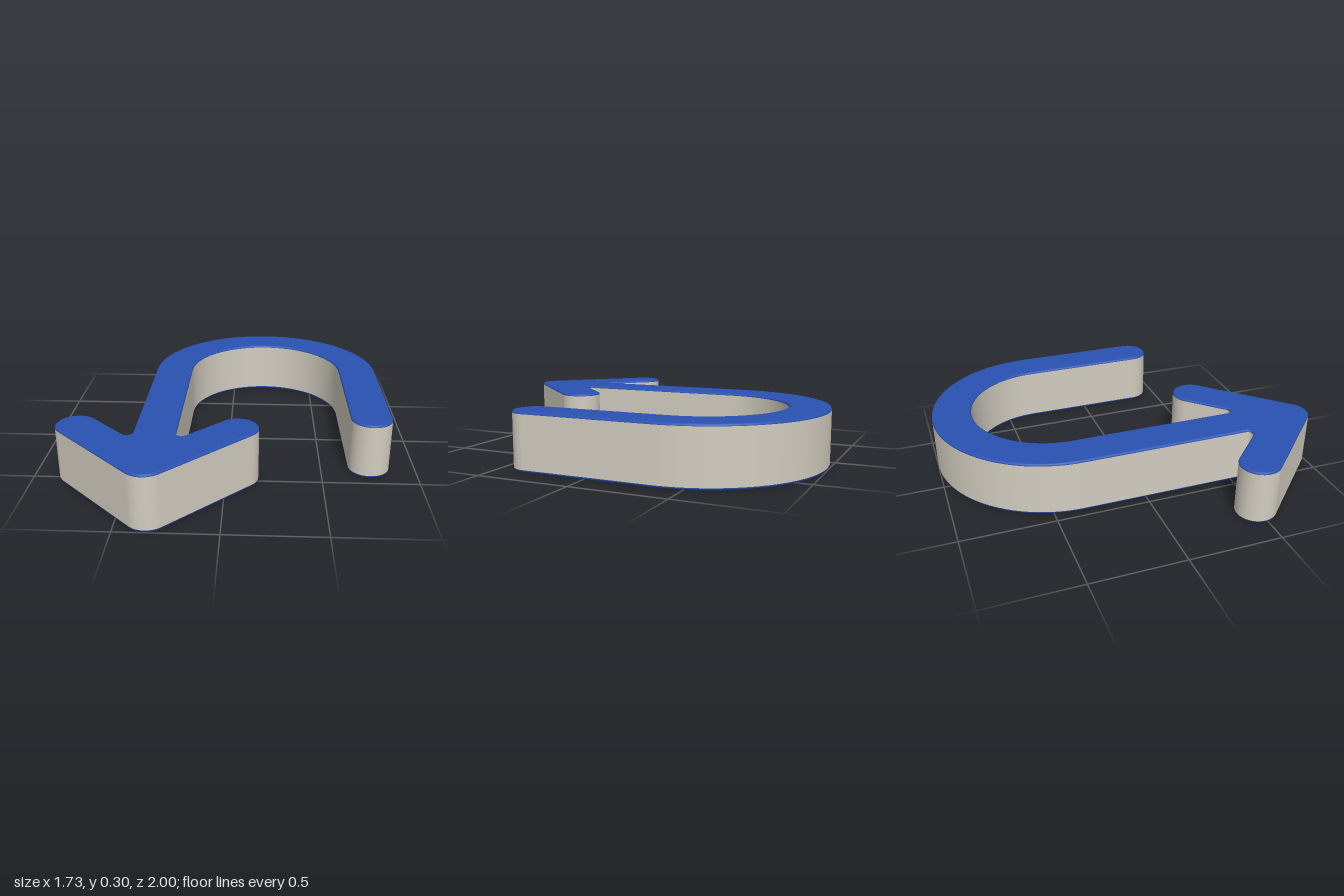
import * as THREE from 'three';

const HEIGHT = 0.3, BEVEL = 0.012;
const W = 0.1075;                    // half width of the stroke
const SHAFT_X = -0.3475, LEG_X = 0.7525;
const BEND = [0.2025, -0.3425];      // centre of the U bend (x, z)
const FILLET = 0.028;

// Outline as tangent arcs joined by straight runs, counter-clockwise from above:
// [centre x, centre z, radius, start degrees, end degrees]; clockwise arcs are concave.
const NOTCH_Z = 0.565, BARB = 0.41, BARB_Z = 0.4825, TIP_Z = 0.8925;
const ARCS = [
  [LEG_X, 0.3375, W, 180, 360],                              // end of the short leg
  [...BEND, 0.55 + W, 0, 180],                               // outer bend
  [SHAFT_X - W - FILLET, NOTCH_Z, FILLET, 0, -135],          // notch
  [SHAFT_X - BARB, BARB_Z, W, 45, 225],                      // barb end
  [SHAFT_X, TIP_Z, W, 225, 315],                             // arrow tip
  [SHAFT_X + BARB, BARB_Z, W, -45, 135],                     // barb end
  [SHAFT_X + W + FILLET, NOTCH_Z, FILLET, 315, 180],         // notch
  [...BEND, 0.55 - W, 180, 0],                               // inner bend
];

// Outline points with their outward normals
function makeOutline() {
  const points = [];
  for (const [cx, cz, r, from, to] of ARCS) {
    const steps = Math.ceil(Math.abs(to - from) / (r > 0.3 ? 3 : 9));
    const sign = to > from ? 1 : -1;
    for (let i = 0; i <= steps; i++) {
      const a = THREE.MathUtils.degToRad(from + (to - from) * i / steps);
      const c = Math.cos(a), s = -Math.sin(a);
      points.push({ x: cx + r * c, z: cz + r * s, nx: sign * c, nz: sign * s });
    }
  }
  return points;
}

// Skin through rings listed from bottom to top, with an optional flat cap ('top' or 'bottom')
function skin(outline, rings, cap) {
  const pos = [], nor = [], index = [], n = outline.length;
  const addRing = ({ inset, y, side, up }) => {
    for (const p of outline) {
      pos.push(p.x - p.nx * inset, y, p.z - p.nz * inset);
      nor.push(p.nx * side, up, p.nz * side);
    }
  };
  rings.forEach(addRing);
  for (let k = 0; k + 1 < rings.length; k++) {
    for (let i = 0; i < n; i++) {
      const j = (i + 1) % n, a = k * n + i, b = k * n + j;
      index.push(a, b, b + n, a, b + n, a + n);
    }
  }
  if (cap) {
    const top = cap === 'top';
    const edge = top ? rings[rings.length - 1] : rings[0];
    const base = rings.length * n;
    addRing({ ...edge, side: 0, up: top ? 1 : -1 });
    const flat = outline.map(p => new THREE.Vector2(p.x - p.nx * edge.inset, -(p.z - p.nz * edge.inset)));
    for (const [a, b, c] of THREE.ShapeUtils.triangulateShape(flat, [])) {
      if (top) index.push(base + a, base + b, base + c);
      else index.push(base + a, base + c, base + b);
    }
  }
  const geometry = new THREE.BufferGeometry();
  geometry.setAttribute('position', new THREE.Float32BufferAttribute(pos, 3));
  geometry.setAttribute('normal', new THREE.Float32BufferAttribute(nor, 3));
  geometry.setIndex(index);
  return geometry;
}

// Quarter-round edge rings, bottom to top
function edgeRings(top) {
  const rings = [];
  for (let i = 0; i <= 4; i++) {
    const a = (i / 4) * Math.PI / 2, c = Math.cos(a), s = Math.sin(a);
    rings.push({
      inset: BEVEL * (1 - c), side: c, up: top ? s : -s,
      y: top ? HEIGHT - BEVEL * (1 - s) : BEVEL * (1 - s),
    });
  }
  return top ? rings : rings.reverse();
}

export function createModel() {
  const group = new THREE.Group();
  group.name = 'uTurnArrow';
  const blue = new THREE.MeshStandardMaterial({ color: 0x2a52b2 });
  const beige = new THREE.MeshStandardMaterial({ color: 0xd2cdc0 });
  const outline = makeOutline();

  const add = (name, geometry, material) => {
    const mesh = new THREE.Mesh(geometry, material);
    mesh.name = name;
    group.add(mesh);
  };

  // Side wall between the two rounded faces
  add('sideWall', skin(outline, [
    { inset: 0, y: BEVEL, side: 1, up: 0 },
    { inset: 0, y: HEIGHT - BEVEL, side: 1, up: 0 },
  ]), beige);

  // Coloured faces with rounded rims
  add('topFace', skin(outline, edgeRings(true), 'top'), blue);
  add('bottomFace', skin(outline, edgeRings(false), 'bottom'), blue);
  return group;
}
